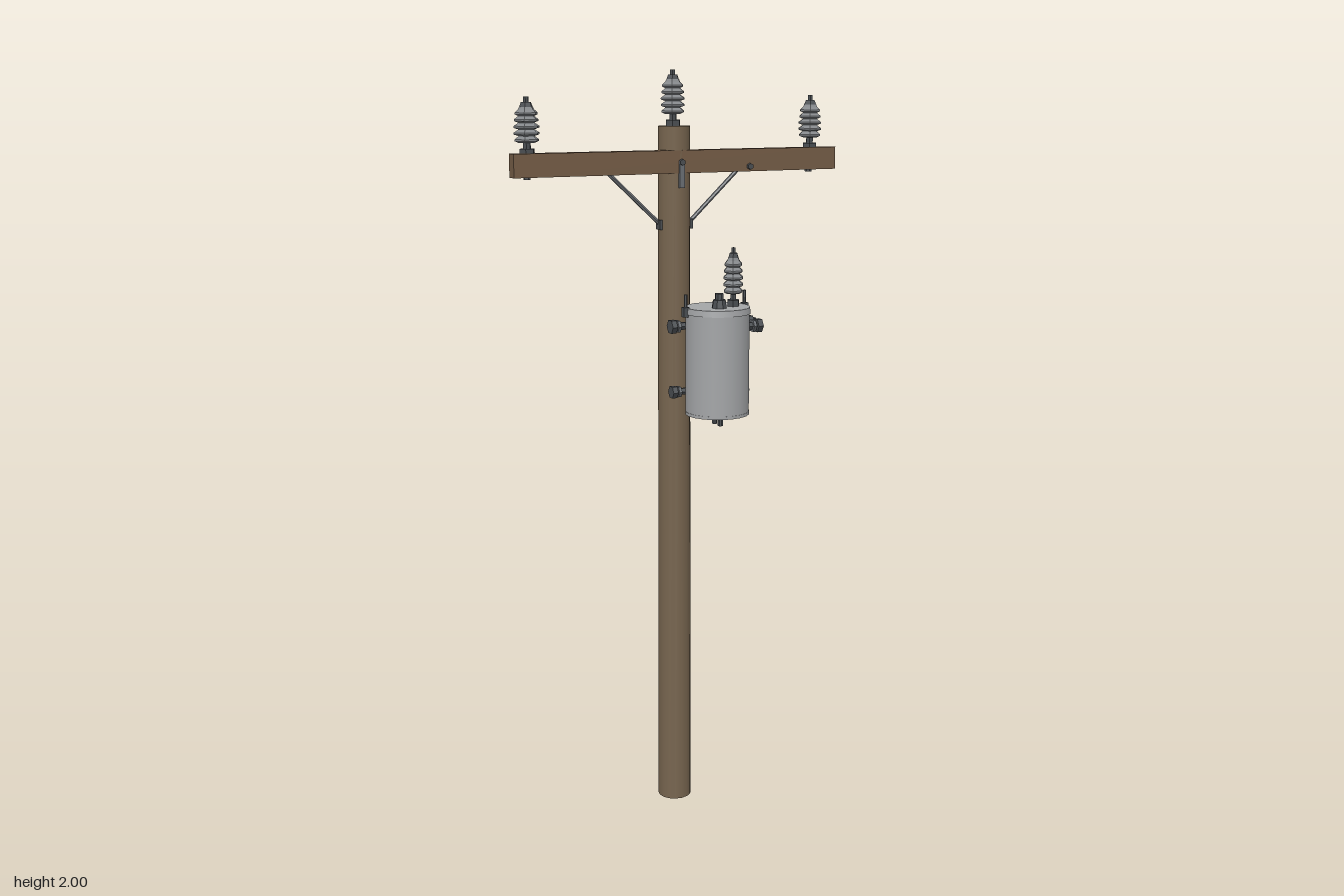
import * as THREE from 'three';

export function createModel() {
  const root = new THREE.Group();
  root.name = 'utilityPole';
  const mat = (name, color, flatShading = false) => {
    const m = new THREE.MeshStandardMaterial({ color, flatShading });
    m.name = name;
    return m;
  };
  const poleWood = mat('poleWood', 0x77654f);
  const armWood = mat('armWood', 0x755d47, true);
  const tankGray = mat('tankGray', 0xa4a6a8);
  const porcelain = mat('porcelain', 0x85888b, true);
  const iron = mat('darkIron', 0x4b4f53, true);
  const steel = mat('steel', 0x6b6f74, true);
  const pale = mat('paleMetal', 0xb0b7be, true);

  const add = (name, geo, m, x = 0, y = 0, z = 0, parent = root) => {
    const mesh = new THREE.Mesh(geo, m);
    mesh.name = name;
    mesh.position.set(x, y, z);
    parent.add(mesh);
    return mesh;
  };
  const box = (name, m, w, h, d, x, y, z) => add(name, new THREE.BoxGeometry(w, h, d), m, x, y, z);
  const cyl = (name, m, r, h, x, y, z, sides = 8, r2 = r) =>
    add(name, new THREE.CylinderGeometry(r2, r, h, sides), m, x, y, z);
  // Rod between two points
  const rod = (name, m, a, b, r) => {
    const p = new THREE.Vector3(...a), q = new THREE.Vector3(...b);
    const mesh = cyl(name, m, r, p.distanceTo(q), 0, 0, 0, 6);
    mesh.position.copy(p).lerp(q, 0.5);
    mesh.quaternion.setFromUnitVectors(new THREE.Vector3(0, 1, 0), q.sub(p).normalize());
    return mesh;
  };

  // Tapered pole with a slight lean
  const poleGeo = new THREE.CylinderGeometry(0.041, 0.046, 1.86, 16);
  poleGeo.translate(0, 0.93, 0);
  const pp = poleGeo.attributes.position;
  for (let i = 0; i < pp.count; i++) pp.setX(i, pp.getX(i) - 0.008 + 0.002 * pp.getY(i));
  add('pole', poleGeo, poleWood, 0, 0, -0.096);
  box('poleStrip', pale, 0.008, 0.14, 0.01, 0.036, 1.44, -0.097);

  // Crossarm and its through bolt
  box('crossarm', armWood, 0.916, 0.058, 0.032, 0, 1.771, -0.071);
  box('armStrap', steel, 0.014, 0.07, 0.008, -0.004, 1.74, -0.052);
  rod('armBolt', iron, [-0.004, 1.77, -0.06], [-0.004, 1.77, -0.044], 0.008);

  // Stacked-shed insulator, 0.14 tall at scale 1
  const insulator = (name, x, y, z, s = 1, radius = 1) => {
    const g = new THREE.Group();
    g.name = name;
    g.position.set(x, y, z);
    g.scale.set(s * radius, s, s * radius);
    g.rotation.y = Math.PI / 6;
    root.add(g);
    add('insulatorBase', new THREE.CylinderGeometry(0.02, 0.02, 0.015, 6), iron, 0, 0.0075, 0, g);
    add('insulatorPin', new THREE.CylinderGeometry(0.01, 0.01, 0.03, 6), iron, 0, 0.026, 0, g);
    const pts = [[0, 0.03], [0.022, 0.03]];
    for (let i = 0; i < 5; i++) {
      const b = 0.034 + i * 0.016, r = 0.035 - Math.abs(i - 1.5) * 0.002;
      pts.push([r, b], [r, b + 0.004], [0.021, b + 0.012]);
    }
    pts.push([0.018, 0.116], [0, 0.116]);
    const v = pts.map(p => new THREE.Vector2(...p));
    add('insulatorSheds', new THREE.LatheGeometry(v, 6), porcelain, 0, 0, 0, g);
    add('insulatorCap', new THREE.CylinderGeometry(0.013, 0.018, 0.012, 6), iron, 0, 0.121, 0, g);
    add('insulatorTip', new THREE.CylinderGeometry(0.007, 0.007, 0.014, 6), iron, 0, 0.133, 0, g);
  };
  insulator('poleTopInsulator', -0.007, 1.86, -0.097);
  for (const x of [-0.408, 0.4]) {
    insulator('armInsulator', x, 1.795, -0.093);
    // Pin bracket on the back of the arm
    box('pinBracket', iron, 0.026, 0.06, 0.01, x, 1.775, -0.092);
    cyl('pinShank', iron, 0.009, 0.065, x, 1.767, -0.098, 6);
  }

  // Braces, one each side, with end plates and bolts
  for (const s of [-1, 1]) {
    const cx = -0.003;
    rod('brace', steel, [cx + s * 0.19, 1.748, -0.099], [cx + s * 0.038, 1.608, -0.099], 0.0055);
    box('bracePlate', steel, 0.042, 0.02, 0.01, s * 0.186, 1.75, -0.099);
    rod('braceBolt', iron, [s * 0.186, 1.75, -0.085], [s * 0.186, 1.75, -0.122], 0.008);
    box('poleLug', iron, 0.012, 0.025, 0.025, cx + s * 0.042, 1.61, -0.097);
  }
  rod('armSideBolt', iron, [0.195, 1.755, -0.058], [0.195, 1.755, -0.046], 0.008);

  // Transformer tank
  const tx = 0.045, tz = 0.054;
  cyl('tank', tankGray, 0.083, 0.265, tx, 1.2625, tz, 20);
  cyl('tankLid', tankGray, 0.086, 0.016, tx, 1.402, tz, 20, 0.084);
  cyl('tankFoot', tankGray, 0.084, 0.008, tx, 1.134, tz, 20);
  insulator('tankBushing', 0.086, 1.41, 0.062, 1.07, 0.78);
  cyl('lidValve', iron, 0.02, 0.022, 0.038, 1.42, 0.077, 8, 0.017);
  cyl('lidValveCap', iron, 0.011, 0.018, 0.038, 1.438, 0.077, 8);
  for (const z of [0.04, 0.072]) {
    cyl('drainPlug', iron, 0.012, 0.01, tx, 1.126, z, 8);
    cyl('drainStem', iron, 0.007, 0.03, tx, 1.115, z, 8);
  }

  // Side terminals: stem, collar and knob along x
  const terminal = (s, y, z, r) => {
    const sx = tx + s * Math.sqrt(0.083 ** 2 - (z - tz) ** 2), e = s < 0 ? -0.072 : 0.15;
    rod('terminalStem', iron, [sx - s * 0.01, y, z], [e, y, z], r * 0.55);
    rod('terminalCollar', steel, [e - s * 0.026, y, z], [e - s * 0.018, y, z], r * 0.9);
    rod('terminalKnob', iron, [e - s * 0.014, y, z], [e, y, z], r);
  };
  terminal(-1, 1.36, 0.015, 0.019);
  terminal(-1, 1.19, 0.02, 0.017);
  terminal(1, 1.36, 0.092, 0.019);
  terminal(1, 1.372, 0.002, 0.019);
  terminal(1, 1.365, 0.045, 0.016);
  terminal(1, 1.18, 0.02, 0.018);
  box('terminalLever', iron, 0.006, 0.018, 0.035, 0.153, 1.365, 0.04);

  // Lid clamps with upright pins
  for (const [x, z] of [[0.134, 0.035], [-0.042, 0.045]]) {
    box('lidClamp', iron, 0.016, 0.025, 0.014, x, 1.4, z);
    cyl('clampPin', iron, 0.0045, 0.05, x, 1.42, z, 6);
  }
  return root;
}
